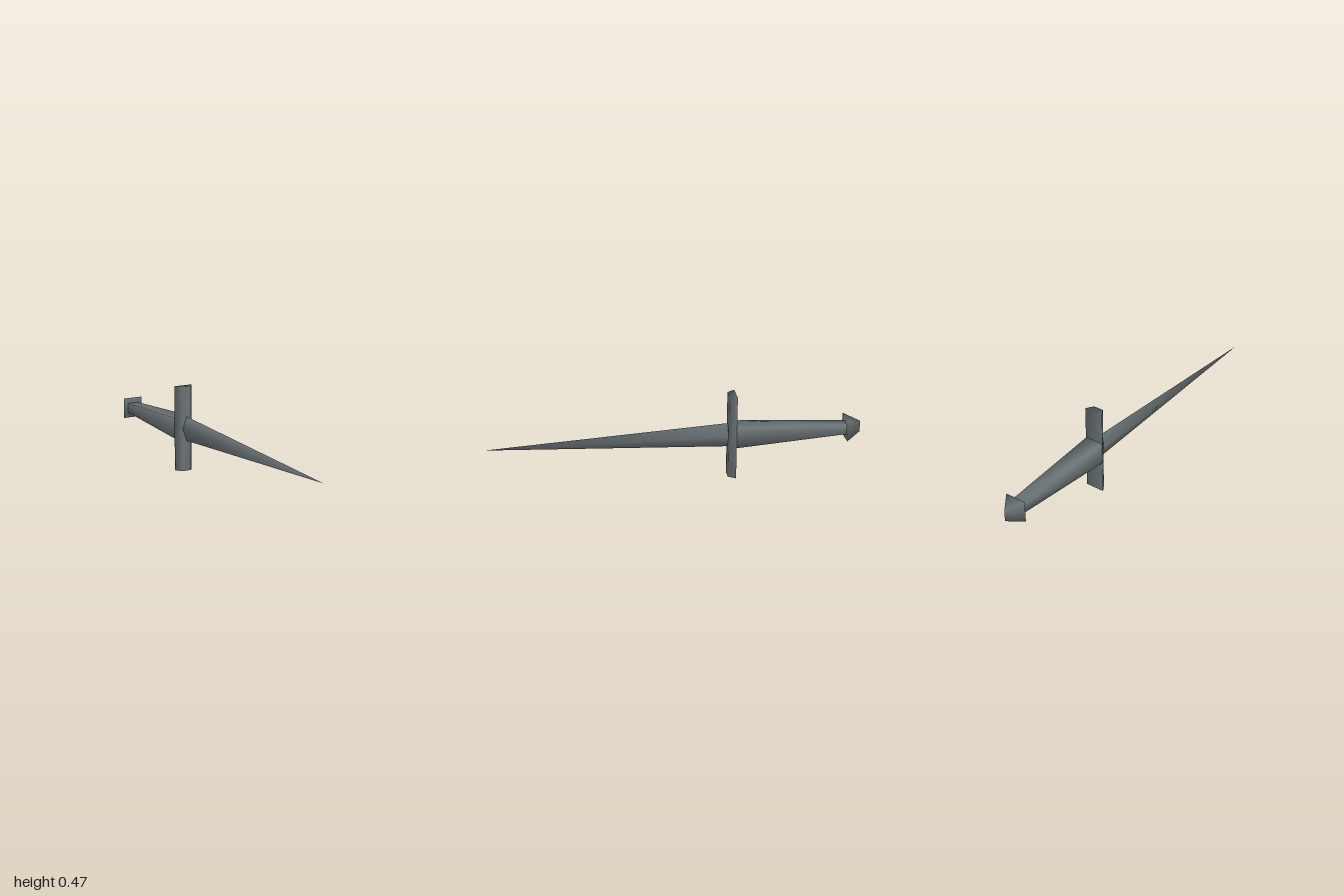
import * as THREE from 'three';
import { mergeVertices } from 'three/addons/utils/BufferGeometryUtils.js';

const MID = 0.236; // height of the dagger's long axis

// Skin between matching rings of points, with optional end caps and shared smooth normals
function loft(rings, capStart, capEnd) {
  const n = rings[0].length;
  const index = [];
  for (let r = 0; r < rings.length - 1; r++) {
    for (let i = 0; i < n; i++) {
      const a = r * n + i, b = r * n + (i + 1) % n;
      index.push(a, b, b + n, a, b + n, a + n);
    }
  }
  const last = (rings.length - 1) * n;
  for (let i = 1; i < n - 1; i++) {
    if (capStart) index.push(0, i + 1, i);
    if (capEnd) index.push(last, last + i, last + i + 1);
  }
  let geometry = new THREE.BufferGeometry();
  geometry.setAttribute('position', new THREE.Float32BufferAttribute(rings.flat(2), 3));
  geometry.setIndex(index);
  geometry = mergeVertices(geometry);
  geometry.computeVertexNormals();
  return geometry;
}

// Cross-sections facing +z, given by half-width and half-height
const diamond = (w, h, z) => [[w, MID, z], [0, MID + h, z], [-w, MID, z], [0, MID - h, z]];
const rect = (w, h, z) => [[-w, -h], [w, -h], [w, h], [-w, h]].map(([x, y]) => [x, MID + y, z]);

export function createModel() {
  const group = new THREE.Group();
  const steel = new THREE.MeshStandardMaterial({ color: 0x6a7376 });
  steel.name = 'darkSteel';

  const add = (name, geometry) => {
    const mesh = new THREE.Mesh(geometry, steel);
    mesh.name = name;
    group.add(mesh);
  };

  // Long diamond blade running to a point
  add('blade', loft([diamond(0.024, 0.068, -0.285), diamond(0, 0, 1)], false, false));

  // Upright crossguard, wider at the back than at the front
  const guardPlan = [[-0.053, -0.318], [-0.027, -0.278], [0.027, -0.278], [0.053, -0.318]];
  const guardRing = (y) => guardPlan.map(([x, z]) => [x, y, z]);
  add('crossguard', loft([guardRing(0), guardRing(0.47)], true, true));

  // Grip tapering towards the pommel
  add('grip', loft([rect(0.033, 0.026, -0.93), rect(0.051, 0.058, -0.317)], false, false));

  // Wedge pommel with an upright ridge at the back
  add('pommel', loft([rect(0, 0.031, -1), rect(0.058, 0.058, -0.918)], false, true));

  return group;
}
